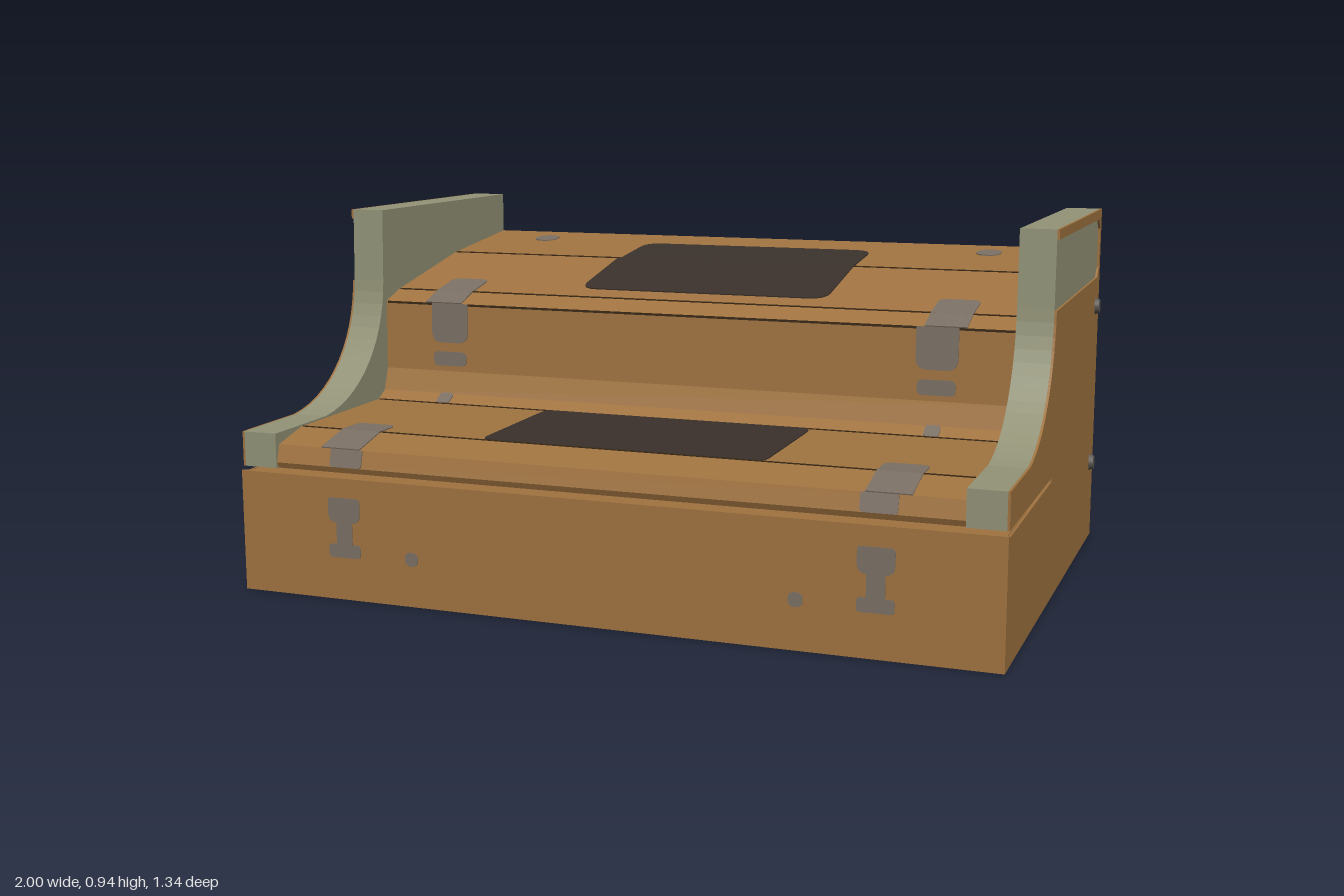
import * as THREE from 'three';

const mat = (name, color) => {
  const m = new THREE.MeshStandardMaterial({ color });
  m.name = name;
  return m;
};
const wood = mat('wood', 0xa07340);
const sage = mat('sage grey', 0x929377);
const grip = mat('dark grip', 0x3a312b);
const worn = mat('worn grey', 0x7a6f64);
const metal = mat('rivet metal', 0x5a5651);
const seamMat = mat('dark seam', 0x3a2916);

export function createModel() {
  const model = new THREE.Group();

  const add = (name, geometry, material, x = 0, y = 0, z = 0) => {
    const mesh = new THREE.Mesh(geometry, material);
    mesh.name = name;
    mesh.position.set(x, y, z);
    model.add(mesh);
    return mesh;
  };
  const box = (name, material, x0, x1, y0, y1, z0, z1) =>
    add(name, new THREE.BoxGeometry(x1 - x0, y1 - y0, z1 - z0), material,
      (x0 + x1) / 2, (y0 + y1) / 2, (z0 + z1) / 2);

  // Side-on (z, y) profile extruded across x0..x1
  const slab = (name, shape, material, x0, x1) => {
    const g = new THREE.ExtrudeGeometry(shape, { depth: x1 - x0, bevelEnabled: false, curveSegments: 14 });
    g.rotateY(-Math.PI / 2);
    return add(name, g, material, x1);
  };
  const trace = (shape, points) => points.forEach(([z, y]) => shape.lineTo(z, y));

  // Thin rounded plate running from a to b, both (z, y), facing outward
  const plate = (name, material, x, width, a, b, rLow = 0.001, rHigh = rLow, depth = 0.003) => {
    const dz = b[0] - a[0], dy = b[1] - a[1], len = Math.hypot(dz, dy), w = width / 2;
    const s = new THREE.Shape();
    s.moveTo(-w + rLow, 0);
    s.lineTo(w - rLow, 0);
    s.quadraticCurveTo(w, 0, w, rLow);
    s.lineTo(w, len - rHigh);
    s.quadraticCurveTo(w, len, w - rHigh, len);
    s.lineTo(-w + rHigh, len);
    s.quadraticCurveTo(-w, len, -w, len - rHigh);
    s.lineTo(-w, rLow);
    s.quadraticCurveTo(-w, 0, -w + rLow, 0);
    const g = new THREE.ExtrudeGeometry(s, { depth, bevelEnabled: false, curveSegments: 4 });
    const dir = new THREE.Vector3(0, dy / len, dz / len);
    const right = new THREE.Vector3(1, 0, 0);
    g.applyMatrix4(new THREE.Matrix4().makeBasis(right, dir, right.clone().cross(dir)));
    return add(name, g, material, x, a[1], a[0]);
  };

  // Stepped body between the side panels
  const profile = [[-0.67, 0.004], [0.09, 0.004], [0.09, 0.325], [0.65, 0.325], [0.657, 0.34], [0.645, 0.385],
    [0.54, 0.412], [0.14, 0.418], [0.105, 0.44], [0.085, 0.5], [0.08, 0.69], [0.01, 0.715], [-0.34, 0.79], [-0.67, 0.83]];
  slab('steppedBody', new THREE.Shape(profile.map(([z, y]) => new THREE.Vector2(z, y))), wood, -0.89, 0.89);
  box('basePanel', wood, -0.98, 0.98, 0.002, 0.006, -0.67, 0.09);

  // Height of the sloping seat and tread at a given z
  const top = (z) => {
    for (let i = 6; i < profile.length - 1; i++) {
      const [z0, y0] = profile[i], [z1, y1] = profile[i + 1];
      if (z <= z0 && z >= z1) return [z, y0 + (y1 - y0) * (z0 - z) / (z0 - z1)];
    }
    return [z, 0];
  };

  // Hollow lower drawer, open underneath
  box('drawerFront', wood, -0.988, 0.988, 0, 0.315, 0.66, 0.67);
  box('drawerTop', wood, -0.98, 0.98, 0.3, 0.31, 0.09, 0.66);

  // Side panels: thick sage core with a wooden outer skin
  const core = new THREE.Shape();
  core.moveTo(-0.67, 0.004);
  trace(core, [[0.09, 0.004], [0.09, 0.325], [0.66, 0.325], [0.66, 0.415], [0.42, 0.418]]);
  core.bezierCurveTo(0.22, 0.44, 0.1, 0.59, 0.096, 0.75);
  trace(core, [[0.09, 0.945], [-0.67, 0.945]]);

  // The skin leaves a long window where the sage band shows
  const skin = new THREE.Shape();
  skin.moveTo(-0.67, 0);
  trace(skin, [[0.66, 0], [0.66, 0.31], [0.09, 0.315], [0.09, 0.325], [0.66, 0.325], [0.66, 0.415], [0.42, 0.418]]);
  skin.bezierCurveTo(0.22, 0.44, 0.1, 0.59, 0.096, 0.745);
  trace(skin, [[-0.62, 0.755], [-0.65, 0.78], [-0.65, 0.89], [-0.62, 0.918], [0.091, 0.92], [0.09, 0.945], [-0.67, 0.945]]);

  const rivet = new THREE.CylinderGeometry(0.019, 0.024, 0.014, 16);
  for (const side of [-1, 1]) {
    const span = (a, b) => (side > 0 ? [a, b] : [-b, -a]);
    slab('sidePanel', core, sage, ...span(0.89, 0.982));
    slab('sideSkin', skin, wood, ...span(0.982, 0.988));
    for (const y of [0.225, 0.675]) {
      add('rivet', rivet, metal, side * 0.993, y, -0.61).rotation.z = -side * Math.PI / 2;
    }

    // Worn fittings on seat edge, riser, tread edge and drawer
    const x = side * 0.69, xe = side * 0.71;
    plate('seatEdgePatch', worn, xe, 0.11, top(0.01), top(-0.095), 0.001, 0.02);
    plate('seatEdgePatch', worn, xe, 0.11, [0.08, 0.69], [0.01, 0.715]);
    plate('riserPatch', worn, x, 0.11, [0.083, 0.58], [0.08, 0.69], 0.03, 0.001);
    plate('riserPatch', worn, x, 0.1, [0.085, 0.515], [0.084, 0.555], 0.015);
    plate('riserFootPatch', worn, x, 0.04, [0.14, 0.418], [0.105, 0.44], 0.01);
    plate('treadEdgePatch', worn, xe, 0.11, top(0.54), top(0.46), 0.001, 0.02);
    plate('treadEdgePatch', worn, xe, 0.11, [0.645, 0.385], [0.54, 0.412]);
    plate('treadEdgePatch', worn, x, 0.09, [0.657, 0.34], [0.645, 0.385], 0.01, 0.001);
    plate('drawerCatch', worn, x, 0.09, [0.669, 0.2], [0.669, 0.265], 0.025, 0.01);
    plate('drawerCatch', worn, x, 0.045, [0.669, 0.13], [0.669, 0.21]);
    plate('drawerCatch', worn, x, 0.09, [0.669, 0.11], [0.669, 0.145], 0.01);
    plate('drawerDot', worn, side * 0.5, 0.036, [0.669, 0.105], [0.669, 0.141], 0.017);
    plate('seatDot', worn, x, 0.07, top(-0.535), top(-0.605), 0.034);

    // Matching marks inside the drawer and under the base
    plate('drawerInnerCatch', worn, x, 0.08, [0.661, 0.265], [0.661, 0.11], 0.025);
    plate('baseMark', worn, xe, 0.11, [-0.09, 0.002], [0.07, 0.002], 0.02, 0.02, 0.002);
    plate('baseDot', worn, x, 0.07, [-0.605, 0.002], [-0.535, 0.002], 0.034, 0.034, 0.002);
  }

  // Dark grip pads on the seat, tread and base
  plate('seatGripFront', grip, 0, 0.71, top(-0.06), top(-0.34), 0.05, 0.001);
  plate('seatGripBack', grip, 0.005, 0.7, top(-0.34), top(-0.54), 0.001, 0.05);
  plate('treadGrip', grip, 0.005, 0.75, top(0.535), top(0.145), 0.035);
  plate('baseGrip', grip, 0, 0.71, [-0.54, 0.002], [-0.06, 0.002], 0.05, 0.05, 0.002);

  // Fine dark seams across the steps
  for (const z of [0.54, 0.146, 0.01, -0.337]) {
    plate('seam', seamMat, 0, 1.77, top(z), top(z - 0.006), 0.001, 0.001, 0.002);
  }
  plate('seam', seamMat, 0, 1.77, [0.08, 0.684], [0.08, 0.69], 0.001, 0.001, 0.002);

  return model;
}
